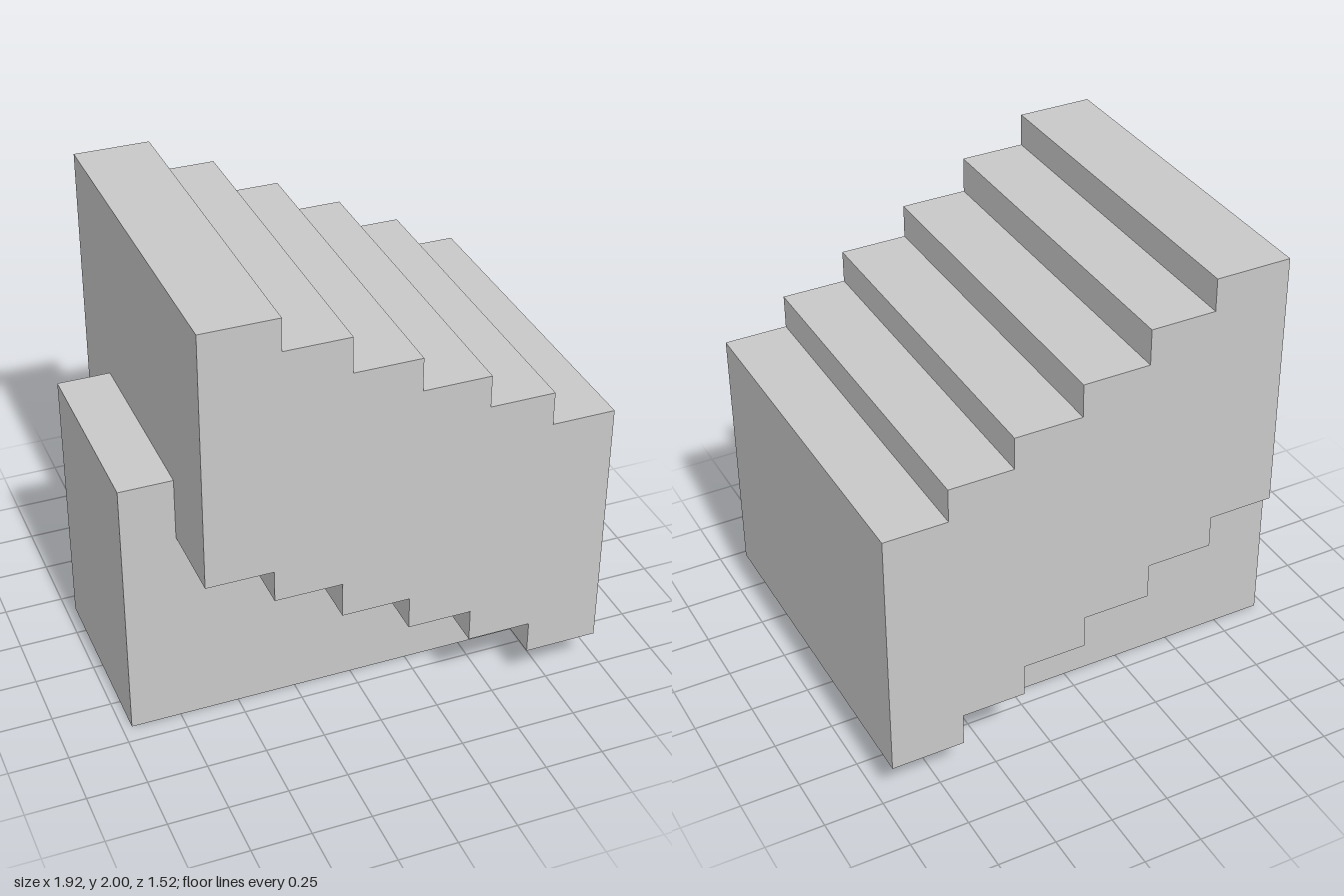
import * as THREE from 'three';

// Stepped line going down to the right: each entry is [x where the tread ends, tread height]
const treads = [[-0.42, 2], [-0.147, 1.862], [0.134, 1.71], [0.418, 1.568], [0.69, 1.43], [0.957, 1.286]];
const soffits = [[-0.46, 0.895], [-0.18, 0.757], [0.106, 0.604], [0.376, 0.461], [0.646, 0.319], [0.957, 0.176]];
const backX = -0.737;

function stepLine(startX, steps) {
  const points = [];
  let x = startX;
  for (const [endX, y] of steps) {
    points.push(new THREE.Vector2(x, y), new THREE.Vector2(endX, y));
    x = endX;
  }
  return points;
}

// Side profile extruded along z, centred on z = 0
function slab(name, points, width, material) {
  const geometry = new THREE.ExtrudeGeometry(new THREE.Shape(points), { depth: width, bevelEnabled: false });
  geometry.translate(0, 0, -width / 2);
  const mesh = new THREE.Mesh(geometry, material);
  mesh.name = name;
  return mesh;
}

export function createModel() {
  const group = new THREE.Group();
  group.name = 'staircase';
  const stone = new THREE.MeshStandardMaterial({ color: 0xc8c8c8 });
  stone.name = 'light grey';

  // Wide flight with steps above and below
  const flight = [...stepLine(backX, soffits), ...stepLine(backX, treads).reverse()];
  group.add(slab('stairFlight', flight, 1.52, stone));

  // Narrow support fitted under the steps, with a raised block at the back
  const endX = 0.857;
  const underside = stepLine(backX, [...soffits.slice(0, -1), [endX, 0.176]]);
  const support = [
    new THREE.Vector2(-0.96, 0), new THREE.Vector2(endX, 0),
    ...underside.reverse(),
    new THREE.Vector2(backX, 1.165), new THREE.Vector2(-0.96, 1.165),
  ];
  group.add(slab('support', support, 0.83, stone));

  return group;
}
